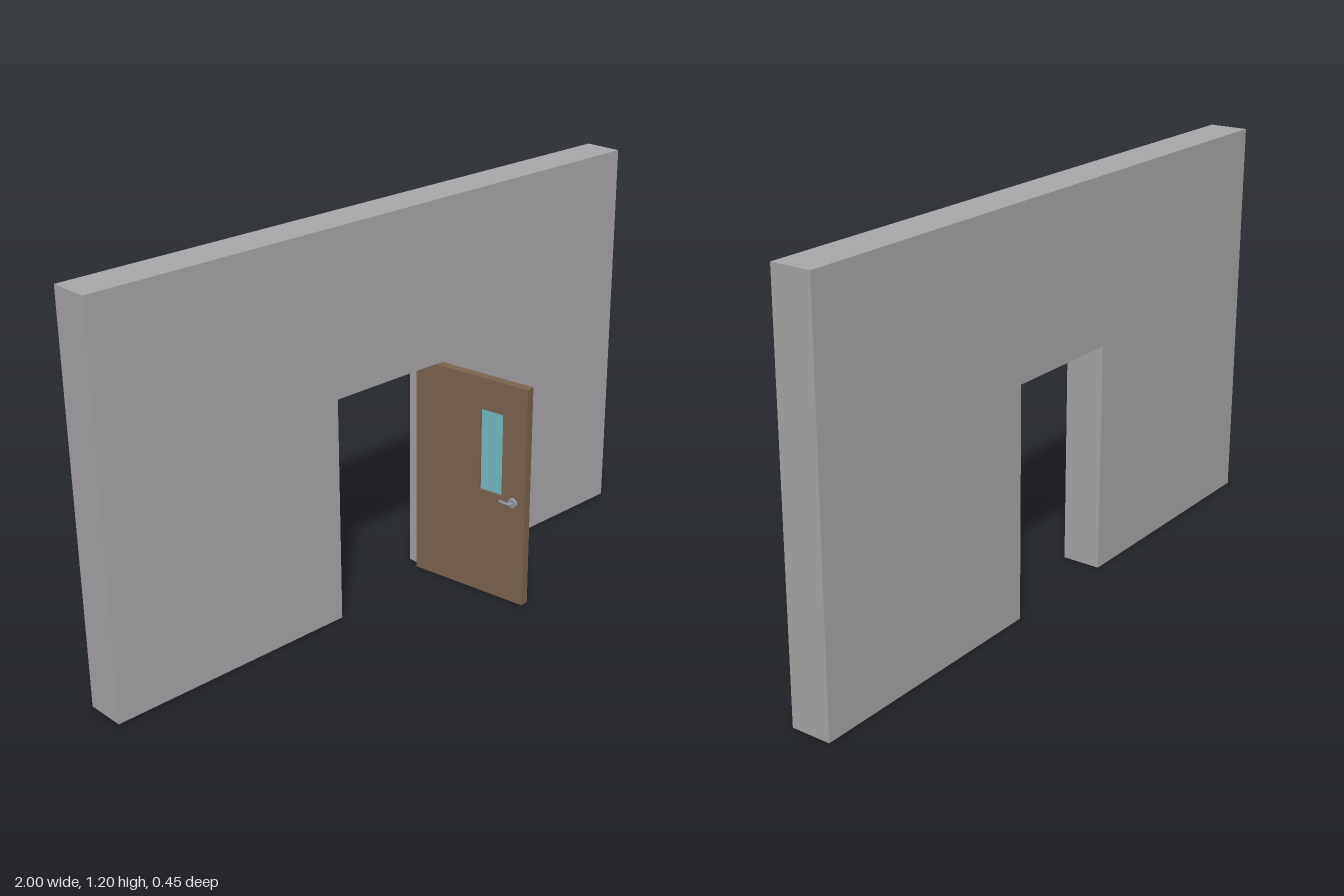
import * as THREE from 'three';

const mat = (name, color) => {
  const m = new THREE.MeshStandardMaterial({ color });
  m.name = name;
  return m;
};

const polygon = (points) => new THREE.Shape(points.map(([x, y]) => new THREE.Vector2(x, y)));

export function createModel() {
  const grey = mat('wall grey', 0xaaa8aa);
  const brown = mat('door brown', 0x7c6550);
  const blue = mat('glass blue', 0x78bcc6);
  const metal = mat('handle metal', 0x9297a0);

  const model = new THREE.Group();
  model.name = 'wallWithDoor';
  const add = (parent, name, geometry, material) => {
    const mesh = new THREE.Mesh(geometry, material);
    mesh.name = name;
    parent.add(mesh);
    return mesh;
  };

  // Wall with a doorway cut up from the floor
  const wallShape = polygon([
    [-1, 0], [-0.2, 0], [-0.2, 0.7], [0.2, 0.7], [0.2, 0], [1, 0], [1, 1.2], [-1, 1.2],
  ]);
  const wall = add(model, 'wall',
    new THREE.ExtrudeGeometry(wallShape, { depth: 0.121, bevelEnabled: false }), grey);
  wall.position.z = -0.223;

  // Door swung open; local z runs from hinge (-) to free edge (+)
  const door = new THREE.Group();
  door.name = 'door';
  door.position.set(0.22, 0, 0.023);
  door.rotation.y = 0.131;
  model.add(door);

  const T = 0.028;
  const [z0, z1, y0, y1] = [0.036, 0.117, 0.34, 0.6];
  const leafShape = polygon([[-0.2, 0], [0.2, 0], [0.2, 0.699], [-0.2, 0.699]]);
  leafShape.holes.push(polygon([[z0, y0], [z0, y1], [z1, y1], [z1, y0]]));
  const leaf = new THREE.ExtrudeGeometry(leafShape, { depth: T, bevelEnabled: false });
  leaf.translate(0, 0, -T / 2).rotateY(-Math.PI / 2);
  add(door, 'doorLeaf', leaf, brown);

  // Glass set back from both faces
  const glass = add(door, 'windowGlass', new THREE.BoxGeometry(0.012, y1 - y0, z1 - z0), blue);
  glass.position.set(0, (y0 + y1) / 2, (z0 + z1) / 2);

  // Lever handle on each face
  for (const side of [-1, 1]) {
    const handle = new THREE.Group();
    handle.name = side > 0 ? 'outerHandle' : 'innerHandle';
    handle.position.set(side * T / 2, 0.33, 0.158);
    door.add(handle);

    const rose = add(handle, 'handleRose', new THREE.CylinderGeometry(0.014, 0.016, 0.006, 20), metal);
    rose.rotation.z = -side * Math.PI / 2;
    rose.position.x = side * 0.003;

    const path = new THREE.CatmullRomCurve3([
      [0, 0, 0], [0.012, 0, 0], [0.016, 0, -0.005], [0.016, 0, -0.025], [0.012, -0.001, -0.038],
    ].map(([x, y, z]) => new THREE.Vector3(side * x, y, z)));
    add(handle, 'handleLever', new THREE.TubeGeometry(path, 20, 0.0045, 10), metal);
    const tip = add(handle, 'handleTip', new THREE.SphereGeometry(0.0045, 10, 8), metal);
    tip.position.set(side * 0.012, -0.001, -0.038);
  }

  return model;
}
